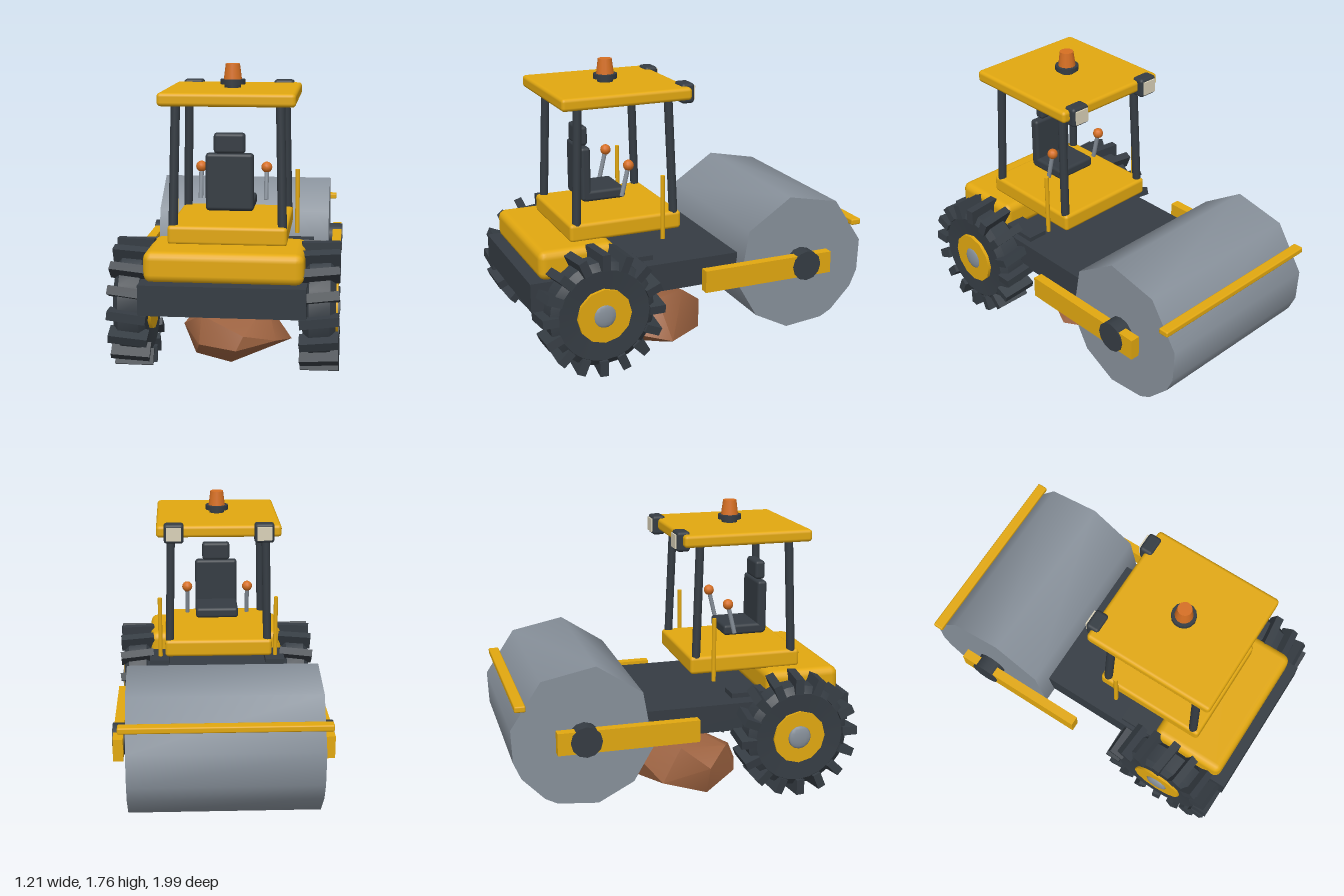
import * as THREE from 'three';
import { toCreasedNormals, mergeVertices } from 'three/addons/utils/BufferGeometryUtils.js';
import { RoundedBoxGeometry } from 'three/addons/geometries/RoundedBoxGeometry.js';
import { ConvexGeometry } from 'three/addons/geometries/ConvexGeometry.js';

const material = (name, color) => {
  const m = new THREE.MeshStandardMaterial({ color });
  m.name = name;
  return m;
};

export function createModel() {
  const model = new THREE.Group();
  model.name = 'roadRoller';
  const yellow = material('yellow paint', 0xe2a810);
  const dark = material('dark rubber and steel', 0x353c43);
  const grey = material('drum steel', 0x87909a);
  const orange = material('orange plastic', 0xd66f22);
  const brown = material('brown rock', 0x9c6240);
  const cream = material('lamp glass', 0xd9d1b8);

  const add = (name, geometry, mat, parent = model) => {
    const mesh = new THREE.Mesh(geometry, mat);
    mesh.name = name;
    parent.add(mesh);
    return mesh;
  };
  // Box given by its extents, with optional rounded edges
  const box = (name, mat, [x0, x1], [y0, y1], [z0, z1], r = 0, parent = model) => {
    const size = [x1 - x0, y1 - y0, z1 - z0];
    const geo = r ? new RoundedBoxGeometry(...size, 2, r) : new THREE.BoxGeometry(...size);
    const mesh = add(name, geo, mat, parent);
    mesh.position.set((x0 + x1) / 2, (y0 + y1) / 2, (z0 + z1) / 2);
    return mesh;
  };
  // Cylinder between two points
  const rod = (name, mat, a, b, r, sides = 10, parent = model) => {
    const from = new THREE.Vector3(...a), to = new THREE.Vector3(...b);
    const dir = to.clone().sub(from);
    const mesh = add(name, new THREE.CylinderGeometry(r, r, dir.length(), sides), mat, parent);
    mesh.position.copy(from).add(to).multiplyScalar(0.5);
    mesh.quaternion.setFromUnitVectors(new THREE.Vector3(0, 1, 0), dir.normalize());
    return mesh;
  };

  // Body
  box('chassis', dark, [-0.435, 0.435], [0.51, 0.672], [-0.23, 1.0]);
  box('engineHood', yellow, [-0.42, 0.42], [0.665, 0.832], [0.5, 0.94], 0.045);
  box('cabFloor', yellow, [-0.32, 0.32], [0.825, 0.928], [0.07, 0.73], 0.02);
  box('roof', yellow, [-0.362, 0.362], [1.568, 1.638], [0.02, 0.77], 0.02);

  // Seat
  box('seatCushion', dark, [-0.13, 0.13], [0.985, 1.048], [0.33, 0.585], 0.018);
  box('seatBack', dark, [-0.13, 0.13], [0.99, 1.3], [0.535, 0.592], 0.018);
  box('headrest', dark, [-0.085, 0.085], [1.3, 1.41], [0.535, 0.595], 0.018);

  // Beacon
  const beacon = (name, mat, rTop, rBottom, y0, y1) => {
    add(name, new THREE.CylinderGeometry(rTop, rBottom, y1 - y0, 14), mat)
      .position.set(0, (y0 + y1) / 2, 0.395);
  };
  beacon('beaconFoot', dark, 0.045, 0.045, 1.636, 1.66);
  beacon('beaconBase', dark, 0.068, 0.068, 1.656, 1.683);
  beacon('beaconLamp', orange, 0.039, 0.05, 1.683, 1.767);

  // Wheel lying on its side along x: lathe tyre, rim, hub and tread lugs
  const tyreProfile = [[0.14, -0.075], [0.26, -0.085], [0.3, -0.055], [0.3, 0.055], [0.26, 0.085], [0.14, 0.075]]
    .map(([r, y]) => new THREE.Vector2(r, y));
  const tyreGeo = toCreasedNormals(new THREE.LatheGeometry(tyreProfile, 24), 0.6);
  const makeWheel = (side) => {
    const wheel = new THREE.Group();
    wheel.name = side > 0 ? 'leftWheel' : 'rightWheel';
    wheel.position.set(side * 0.5, 0.49, 0.638);
    add('tyre', tyreGeo, dark, wheel).rotation.z = -Math.PI / 2;
    rod('rim', yellow, [-0.09, 0, 0], [0.095, 0, 0], 0.154, 12, wheel);
    const hub = add('hub', new THREE.SphereGeometry(0.068, 12, 8), grey, wheel);
    hub.position.x = side * 0.09;
    hub.scale.x = 0.25;
    for (let i = 0; i < 16; i++) {
      const spoke = new THREE.Group();
      spoke.name = 'treadLug';
      spoke.rotation.x = (i / 16) * Math.PI * 2;
      wheel.add(spoke);
      const lug = box('lug', dark, [-0.103, 0.103], [0.26, 0.35], [-0.024, 0.024], 0, spoke);
      lug.rotation.y = side * 0.12;
    }
    return wheel;
  };

  // Parts mirrored on both sides
  for (const s of [-1, 1]) {
    const span = (a, b) => (s > 0 ? [a, b] : [-b, -a]);
    model.add(makeWheel(s));
    rod('rearPost', dark, [s * 0.293, 0.91, 0.685], [s * 0.277, 1.58, 0.658], 0.025);
    rod('frontPost', dark, [s * 0.293, 0.88, 0.107], [s * 0.277, 1.58, 0.132], 0.025);
    rod('handrail', yellow, [s * 0.35, 0.79, 0.197], [s * 0.35, 1.158, 0.197], 0.013);
    rod('lever', grey, [s * 0.183, 1.015, 0.375], [s * 0.183, 1.18, 0.335], 0.013);
    add('leverKnob', new THREE.SphereGeometry(0.031, 12, 8), orange).position.set(s * 0.183, 1.19, 0.333);
    box('step', dark, span(0.3, 0.42), [0.7, 0.727], [0.285, 0.5]);
    box('lampHousing', dark, span(0.203, 0.318), [1.54, 1.653], [-0.012, 0.065], 0.018);
    box('lampGlass', cream, span(0.218, 0.303), [1.558, 1.636], [-0.02, -0.011]);
    box('drumArm', yellow, span(0.545, 0.6), [0.528, 0.655], [-0.754, 0.043]);
    rod('axleCap', dark, [s * 0.5, 0.593, -0.595], [s * 0.606, 0.593, -0.595], 0.088, 12);
  }

  // Drum: coarse uneven polygon extruded across the width
  const drumShape = new THREE.Shape([101, 56, 11, -16, -31, -57, -68, -101, -134, -166, -214].map((deg) => {
    const a = THREE.MathUtils.degToRad(deg);
    return new THREE.Vector2(0.405 * Math.cos(a), 0.405 * Math.sin(a));
  }));
  const drumGeo = new THREE.ExtrudeGeometry(drumShape, { depth: 1.045, bevelEnabled: false });
  drumGeo.translate(0, 0, -0.5225).rotateY(Math.PI / 2);
  add('drum', toCreasedNormals(drumGeo, 0.95), grey).position.set(0, 0.593, -0.597);
  box('scraperBar', yellow, [-0.562, 0.562], [0.78, 0.815], [-0.973, -0.912], 0.008);

  // Rock under the chassis
  const rockPoints = [
    [-0.31, 0.23, 0.2], [-0.2, 0.335, 0.05], [-0.19, 0.32, 0.33], [0.18, 0.355, 0.16], [0.1, 0.345, -0.04],
    [0.32, 0.13, 0.12], [0.05, 0.005, 0.075], [-0.24, 0.05, 0.2], [-0.02, 0.04, 0.32], [0.02, 0.15, 0.455],
    [0.06, 0.23, 0.43], [0.03, 0.235, -0.18], [0.08, 0.08, -0.155], [-0.2, 0.12, -0.06], [0.24, 0.18, 0.33],
    [-0.2, 0.16, 0.38],
  ].map((p) => new THREE.Vector3(...p));
  let rock = new ConvexGeometry(rockPoints);
  rock.deleteAttribute('normal');
  rock = mergeVertices(rock, 1e-4);
  add('rock', toCreasedNormals(rock, 0.7), brown);

  return model;
}
